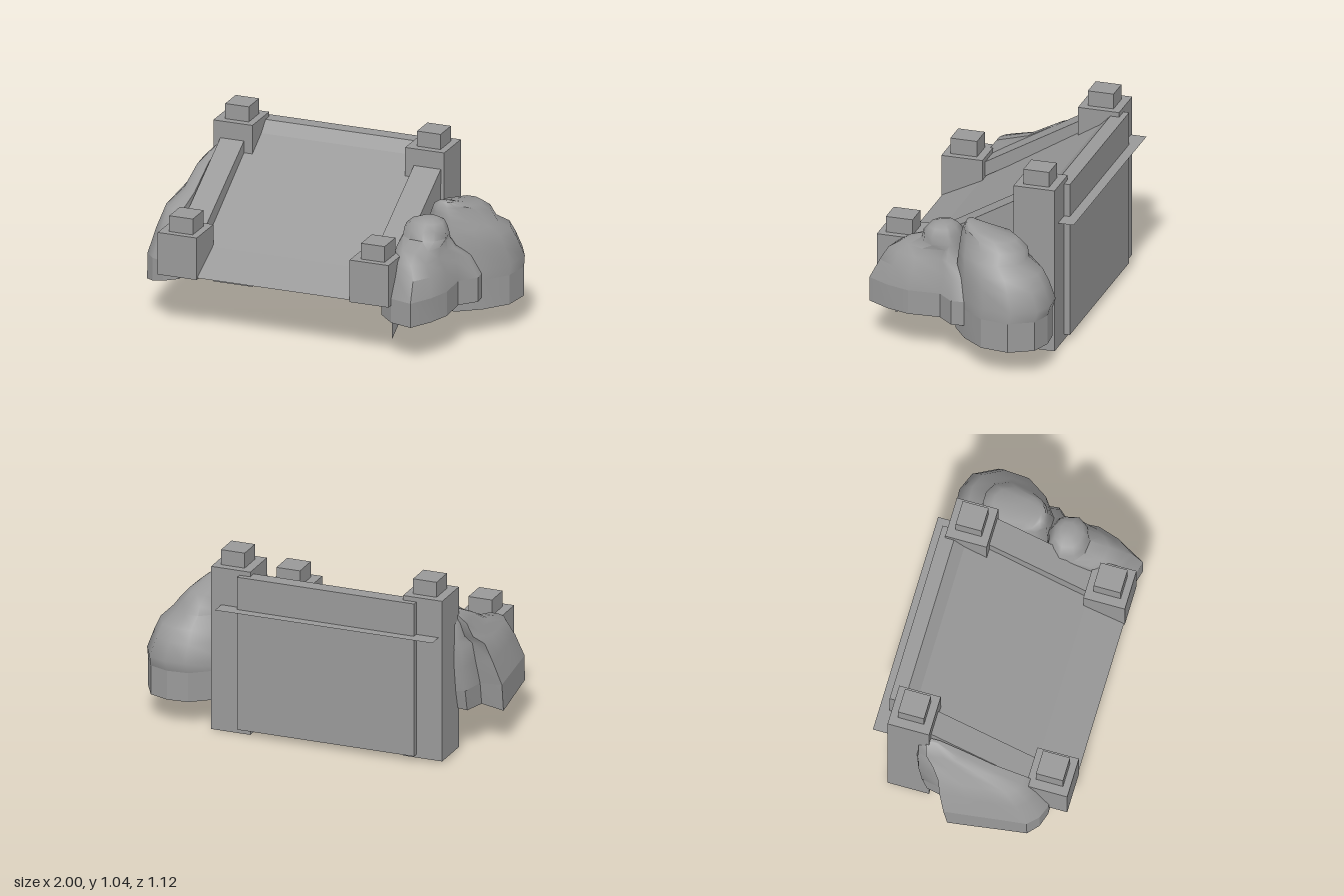
import * as THREE from 'three';
import { toCreasedNormals } from 'three/addons/utils/BufferGeometryUtils.js';

const stone = new THREE.MeshStandardMaterial({ color: 0x999999, side: THREE.DoubleSide });

export function createModel() {
  const model = new THREE.Group();

  const add = (name, geometry) => {
    const mesh = new THREE.Mesh(geometry, stone);
    mesh.name = name;
    model.add(mesh);
    return mesh;
  };

  // Box given by its limits on each axis, without its underside
  const openBox = (name, x0, x1, y0, y1, z0, z1) => {
    const geo = new THREE.BoxGeometry(x1 - x0, y1 - y0, z1 - z0);
    geo.setIndex(Array.from(geo.index.array).filter((_, i) => i < 18 || i > 23));
    add(name, geo).position.set((x0 + x1) / 2, (y0 + y1) / 2, (z0 + z1) / 2);
  };

  // Hollow posts with small square caps
  for (const [side, x, low] of [['left', 0.455, 0], ['right', -0.685, 0.015]]) {
    openBox(side + 'BackPost', x - 0.117, x + 0.115, low, 0.957, -0.47, -0.233);
    openBox(side + 'BackCap', x - 0.065, x + 0.075, 0.957, 1.045, -0.425, -0.277);
    openBox(side + 'FrontPost', x - 0.117, x + 0.115, 0.32, 0.565, 0.318, 0.555);
    openBox(side + 'FrontCap', x - 0.065, x + 0.075, 0.565, 0.657, 0.362, 0.516);
  }

  // Wall at the back with a thin ledge behind it
  openBox('backWall', -0.648, 0.402, 0.033, 0.93, -0.503, -0.42);
  const ledge = add('backLedge', new THREE.PlaneGeometry(1.29, 0.1).rotateX(-Math.PI / 2));
  ledge.position.set(-0.135, 0.74, -0.51);

  // Sloping ramp surface in three flat runs, steeper towards the top
  const profile = [[-0.42, 0.93], [-0.36, 0.87], [0.33, 0.44], [0.55, 0.33]];
  const ramp = new THREE.PlaneGeometry(1.16, 1, 1, profile.length - 1);
  const rp = ramp.attributes.position;
  for (let i = 0; i < rp.count; i++) {
    const [z, y] = profile[i >> 1];
    rp.setXYZ(i, rp.getX(i) - 0.115, y, z);
  }
  add('ramp', toCreasedNormals(ramp, 0.03));

  // Sloping rails beside the ramp: parallelogram in z and y, given a width in x
  const railShape = (height) => new THREE.Shape(
    [[0.455, 0.458], [-0.36, 0.933], [-0.36, 0.933 - height], [0.455, 0.458 - height]]
      .map(([z, y]) => new THREE.Vector2(-z, y)));
  const rail = (name, x0, x1) => {
    const geo = new THREE.ExtrudeGeometry(railShape(0.085), { depth: x1 - x0, bevelEnabled: false });
    add(name, geo.rotateY(Math.PI / 2)).position.x = x0;
  };
  rail('leftRail', 0.39, 0.55);
  rail('rightRail', -0.76, -0.62);

  // Thin skirts under the outer edges of the rails, deeper on the left
  for (const [name, x, height] of [['leftRailSkirt', 0.549, 0.358], ['rightRailSkirt', -0.759, 0.13]]) {
    add(name, new THREE.ShapeGeometry(railShape(height)).rotateY(Math.PI / 2)).position.x = x;
  }

  // Rock, open underneath: one outline fitted to a stack of levels
  // [y, x0, x1, z0, z1], growing rounder upwards by the given amount.
  // The first two levels make a faceted base, the rest a smooth body.
  // tilt raises the lower edge along x.
  const rock = (name, outline, levels, round, tilt = 0) => {
    const xs = outline.map((p) => p[0]), zs = outline.map((p) => p[1]);
    const ax = Math.min(...xs), bx = Math.max(...xs);
    const az = Math.min(...zs), bz = Math.max(...zs);
    const n = outline.length, last = levels.length - 1, pos = [];
    levels.forEach(([y, x0, x1, z0, z1], k) => {
      const t = round * THREE.MathUtils.clamp(1.6 * (k - 1) / (last - 1), 0, 1);
      for (const [px, pz] of outline) {
        const u = (px - ax) / (bx - ax) - 0.5, v = (pz - az) / (bz - az) - 0.5;
        const s = 1 - t + t * 0.5 / Math.hypot(u, v);
        pos.push(x0 + (u * s + 0.5) * (x1 - x0), y + (k ? 0 : tilt * (u + 0.5)),
          z0 + (v * s + 0.5) * (z1 - z0));
      }
    });
    const [ty, tx0, tx1, tz0, tz1] = levels[last];
    pos.push((tx0 + tx1) / 2, ty + 0.004, (tz0 + tz1) / 2);

    const part = (suffix, from, to, crease) => {
      const idx = [];
      for (let k = from; k < to; k++) {
        for (let i = 0; i < n; i++) {
          const a = k * n + i, b = k * n + (i + 1) % n;
          idx.push(a, a + n, b, b, a + n, b + n);
        }
      }
      if (to === last) {
        for (let i = 0; i < n; i++) idx.push(pos.length / 3 - 1, last * n + (i + 1) % n, last * n + i);
      }
      const geo = new THREE.BufferGeometry();
      geo.setAttribute('position', new THREE.Float32BufferAttribute(pos, 3));
      geo.setIndex(idx);
      add(name + suffix, toCreasedNormals(geo.toNonIndexed(), crease));
    };
    part('Base', 0, 1, 0.3);
    part('Body', 1, last, 1.1);
  };

  // Large rock beside the back post, with a shelf towards the rear
  rock('backRock',
    [[1, -0.34], [0.98, -0.18], [0.88, -0.05], [0.76, 0.04], [0.58, 0.06], [0.47, -0.02],
      [0.45, -0.2], [0.52, -0.36], [0.7, -0.5], [0.82, -0.51], [0.93, -0.47]].reverse(),
    [[0.15, 0.44, 1, -0.51, 0.06], [0.32, 0.44, 1, -0.51, 0.06], [0.38, 0.46, 1, -0.53, 0.055],
      [0.48, 0.48, 0.97, -0.49, 0.05], [0.55, 0.5, 0.945, -0.45, 0.045],
      [0.605, 0.53, 0.89, -0.365, 0.04], [0.66, 0.55, 0.85, -0.36, 0.035],
      [0.705, 0.57, 0.81, -0.3, 0.03], [0.735, 0.59, 0.77, -0.13, 0.02],
      [0.765, 0.63, 0.72, -0.04, 0.005]], 0.4);

  // Smaller rock with a knob beside the front post
  rock('frontRock',
    [[0.57, 0.52], [0.7, 0.555], [0.77, 0.43], [0.81, 0.3], [0.8, 0.12], [0.88, 0.03],
      [0.87, -0.05], [0.7, -0.05], [0.52, 0], [0.43, 0.2], [0.47, 0.42]],
    [[0.22, 0.43, 0.88, -0.055, 0.555], [0.36, 0.43, 0.88, -0.055, 0.555],
      [0.47, 0.47, 0.84, -0.04, 0.5], [0.54, 0.49, 0.78, 0.015, 0.46],
      [0.59, 0.49, 0.76, 0.025, 0.38], [0.62, 0.49, 0.76, 0.035, 0.27],
      [0.67, 0.5, 0.75, 0.05, 0.26], [0.705, 0.54, 0.73, 0.07, 0.23],
      [0.722, 0.59, 0.69, 0.1, 0.19]], 1);

  // Ragged rock on the other side of the ramp, highest at the back
  rock('sideRock',
    [[-0.7, 0.45], [-0.8, 0.45], [-0.88, 0.42], [-0.94, 0.36], [-0.96, 0.2], [-0.98, 0.05],
      [-1, -0.11], [-0.87, -0.13], [-0.84, -0.28], [-0.78, -0.3], [-0.7, -0.28]].reverse(),
    [[0.2, -1, -0.72, -0.25, 0.45], [0.36, -1, -0.72, -0.28, 0.45],
      [0.5, -0.96, -0.74, -0.3, 0.38], [0.61, -0.92, -0.765, -0.3, 0.3],
      [0.66, -0.87, -0.765, -0.3, 0.12], [0.75, -0.85, -0.765, -0.3, -0.05],
      [0.81, -0.79, -0.765, -0.28, -0.18]], 0, 0.07);

  return model;
}
